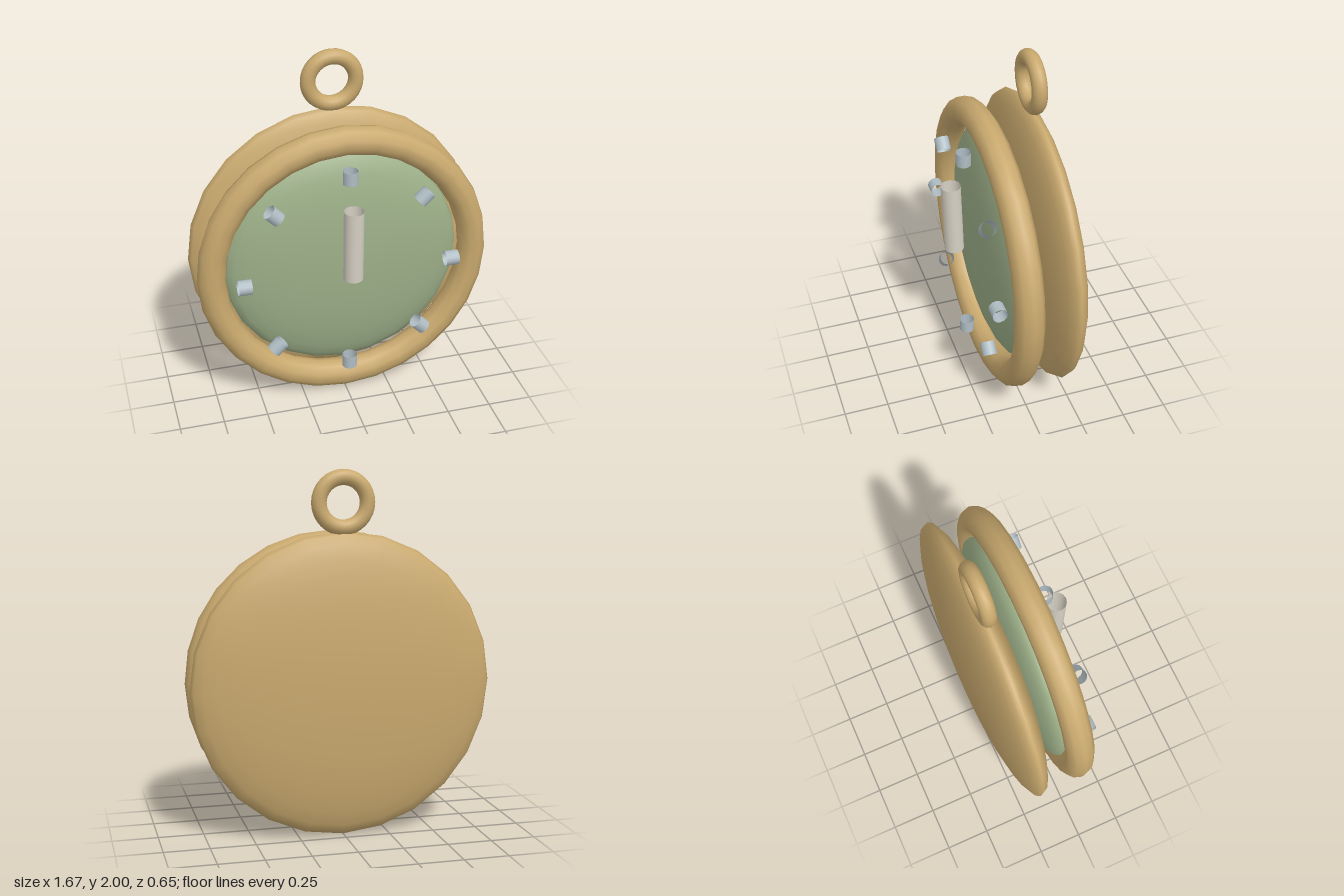
import * as THREE from 'three';

const CY = 0.838; // height of the watch centre

function material(name, color, side = THREE.FrontSide) {
  const m = new THREE.MeshStandardMaterial({ color, side });
  m.name = name;
  return m;
}

export function createModel() {
  const group = new THREE.Group();
  const gold = material('gold', 0xc9a96e);
  const sage = material('sage green', 0x9caf88);
  const steel = material('steel blue', 0xb0bec5, THREE.DoubleSide);
  const ivory = material('ivory', 0xd6d1c4, THREE.DoubleSide);

  function add(name, geometry, mat, x, y, z) {
    const mesh = new THREE.Mesh(geometry, mat);
    mesh.name = name;
    mesh.position.set(x, y, z);
    group.add(mesh);
    return mesh;
  }

  // Flattened round body, its poles facing front and back
  const disc = (radius, depth) =>
    new THREE.SphereGeometry(1, 24, 16).rotateX(Math.PI / 2).scale(radius, radius, depth);

  add('backCase', disc(0.835, 0.142), gold, 0, CY, -0.18);
  add('dial', disc(0.67, 0.14), sage, 0, CY, 0.016);
  add('bezel', new THREE.TorusGeometry(0.748, 0.08, 10, 28), gold, 0, CY, 0.076);
  add('hangingRing', new THREE.TorusGeometry(0.133, 0.0425, 12, 32), gold, 0, 1.825, -0.178);

  // Hour markers: short open tubes pointing outwards
  const markerShape = new THREE.CylinderGeometry(0.042, 0.042, 0.075, 12, 1, true);
  for (let i = 0; i < 8; i++) {
    const a = (i * Math.PI) / 4;
    const marker = add('hourMarker' + (i + 1), markerShape, steel,
      Math.sin(a) * 0.587, CY + 0.003 + Math.cos(a) * 0.587, 0.195);
    marker.rotation.z = -a;
  }

  // Hand: an open tube leaning slightly forward
  const hand = add('hand', new THREE.CylinderGeometry(0.055, 0.055, 0.42, 14, 1, true),
    ivory, 0, 1.053, 0.264);
  hand.rotation.x = 0.025;

  return group;
}
